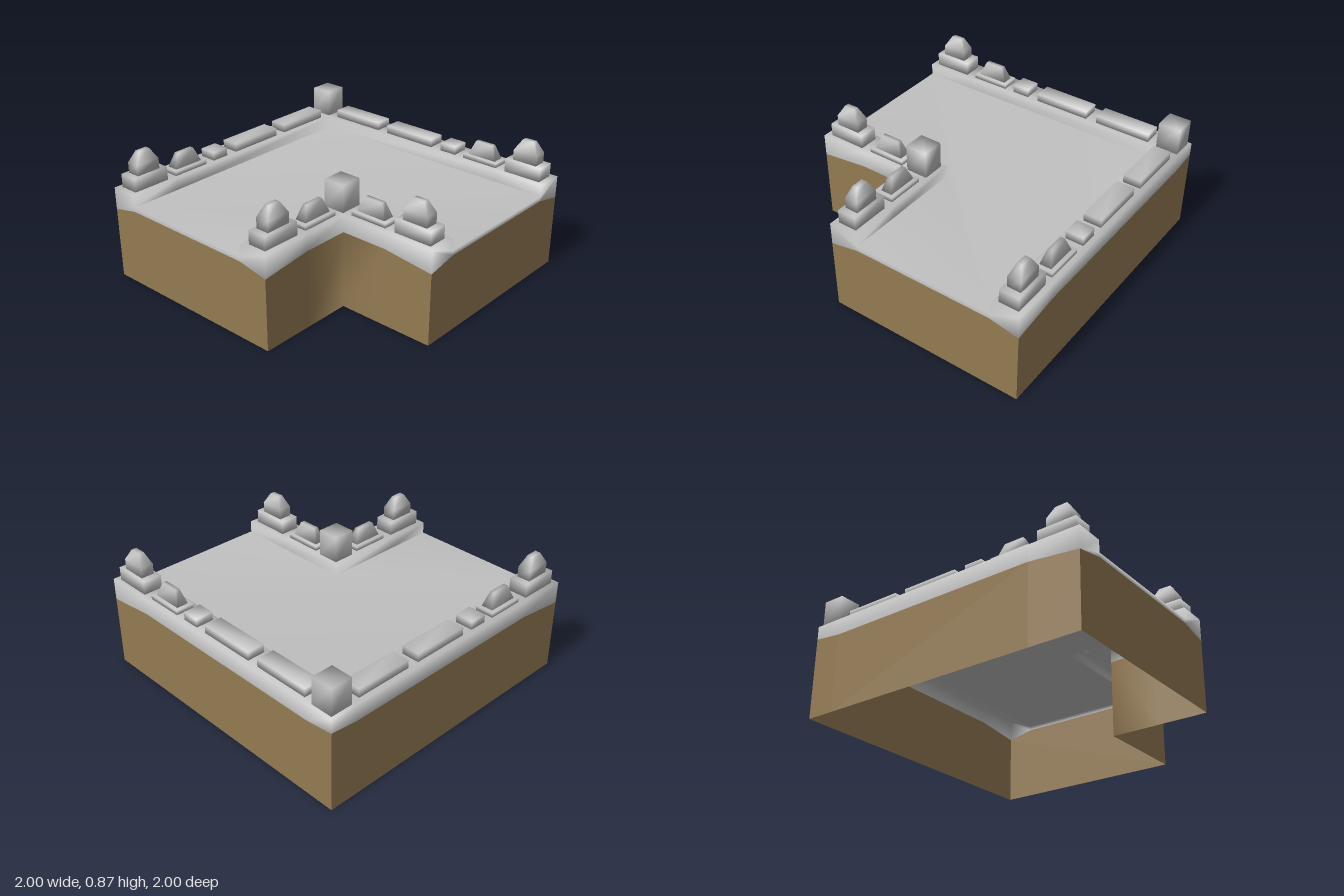
import * as THREE from 'three';
import { mergeGeometries, mergeVertices } from 'three/addons/utils/BufferGeometryUtils.js';

const LOW = 0.48, EAVE = 0.52, FLOOR = 0.55, TOP = 0.63; // main levels
const IN = -0.81, NOTCH = 0.34, NOTCH_IN = 0.14;         // plan lines, same in x and z

// Skin a list of cross-sections, sharing vertices so the shading is smooth
function loft(rows) {
  const n = rows[0].length, index = [];
  for (let i = 0; i < rows.length - 1; i++) {
    for (let j = 0; j < n - 1; j++) {
      const a = i * n + j, b = a + n;
      index.push(a, b, b + 1, a, b + 1, a + 1);
    }
  }
  const g = new THREE.BufferGeometry();
  g.setAttribute('position', new THREE.Float32BufferAttribute(rows.flat(2), 3));
  g.setIndex(index);
  g.computeVertexNormals();
  return g;
}

const flat = (pts) => new THREE.ShapeGeometry(new THREE.Shape(pts.map(([x, y]) => new THREE.Vector2(x, y))));
// The same gable outline closes the front (z = 1) and the side (x = 1)
const frontFace = (pts) => flat(pts).translate(0, 0, 1);
const sideFace = (pts) => flat(pts.map(([x, y]) => [-x, y])).rotateY(Math.PI / 2).translate(1, 0, 0);

// Merge pieces and smooth normals over their shared corners
function smooth(list) {
  list.forEach((g) => { g.deleteAttribute('uv'); g.deleteAttribute('normal'); });
  const g = mergeVertices(mergeGeometries(list), 1e-4);
  g.computeVertexNormals();
  return g;
}

// Box from y0 to y1 whose top may be narrower
function block(w, d, y0, y1, topW = w, topD = d) {
  const g = new THREE.BoxGeometry(w, y1 - y0, d).translate(0, (y0 + y1) / 2, 0);
  const p = g.attributes.position;
  for (let i = 0; i < p.count; i++) {
    if (p.getY(i) > (y0 + y1) / 2) {
      p.setX(i, p.getX(i) * topW / w);
      p.setZ(i, p.getZ(i) * topD / d);
    }
  }
  return smooth([g]);
}

export function createModel() {
  const model = new THREE.Group();
  const brown = new THREE.MeshStandardMaterial({ color: 0x947b53, side: THREE.DoubleSide });
  brown.name = 'earth brown';
  const grey = new THREE.MeshStandardMaterial({ color: 0xc0c0c0, side: THREE.DoubleSide });
  grey.name = 'stone grey';

  const add = (name, geometry, material, parent = model) => {
    const mesh = new THREE.Mesh(geometry, material);
    mesh.name = name;
    parent.add(mesh);
    return mesh;
  };

  // Paths along the walls: outer x, z, wall height, inner x, z
  const back = [[1, -1, LOW, 1, IN], [0.66, -1, EAVE, 0.66, IN], [-0.81, -1, EAVE, IN, IN], [-1, -1, 0.54, IN, IN]];
  const left = [[-1, -1, 0.54, IN, IN], [-1, -0.81, EAVE, IN, IN], [-1, 0.66, EAVE, IN, 0.66], [-1, 1, LOW, IN, 1]];
  const notch = [
    [NOTCH, 1, LOW, NOTCH_IN, 1], [NOTCH, 0.66, EAVE, NOTCH_IN, 0.66],
    [NOTCH, NOTCH, EAVE, NOTCH_IN, NOTCH_IN],
    [0.66, NOTCH, EAVE, 0.66, NOTCH_IN], [1, NOTCH, LOW, 1, NOTCH_IN],
  ];

  // Brown base walls, open underneath
  const wall = (path) => loft(path.map(([x, z, h]) => [[x, 0, z], [x, h, z]]));
  const gable = [[-1, 0], [NOTCH, 0], [NOTCH, LOW], [NOTCH_IN, EAVE], [IN, EAVE], [-1, LOW]];
  add('backWall', wall(back), brown);
  add('leftOuterWall', wall(left), brown);
  add('notchWall', wall(notch), brown);
  add('frontWall', frontFace(gable), brown);
  add('sideWall', sideFace(gable), brown);

  // Grey roof: parapets, sunken floor and the two low ends
  const parapet = (path) => loft(path.map(([x, z, h, ix, iz]) =>
    [[x, h, z], [x, TOP, z], [ix, TOP, iz], [ix, FLOOR, iz]]));
  const rim = [
    [-1, LOW], [IN, EAVE], [NOTCH_IN, EAVE], [NOTCH, LOW], [NOTCH, TOP],
    [NOTCH_IN, TOP], [NOTCH_IN, FLOOR], [IN, FLOOR], [IN, TOP], [-1, TOP],
  ];
  const floor = flat([[IN, -IN], [1, -IN], [1, -NOTCH_IN], [NOTCH_IN, -NOTCH_IN], [NOTCH_IN, -1], [IN, -1]])
    .rotateX(-Math.PI / 2).translate(0, FLOOR, 0);
  add('roof', smooth([parapet(back), parapet(left), parapet(notch), floor, frontFace(rim), sideFace(rim)]), grey);

  // Parapet ornaments, each laid out along x and turned for the z runs
  const ornaments = {
    longBlock: [block(0.39, 0.12, TOP, 0.685)],
    smallBlock: [block(0.12, 0.12, TOP, 0.685)],
    taperedBlock: [block(0.26, 0.125, TOP, 0.66), block(0.21, 0.08, 0.66, 0.755, 0.13, 0.03)],
    finial: [
      block(0.26, 0.13, TOP, 0.72),
      block(0.17, 0.09, 0.72, 0.79),
      block(0.17, 0.09, 0.79, 0.865, 0.08, 0.035),
    ],
    tower: [block(0.15, 0.15, TOP, 0.81)],
  };
  // Fuse the finial's upper stages so they shade as one cap
  const [plinth, ...cap] = ornaments.finial;
  ornaments.finial = [plinth, smooth(cap)];

  const place = (name, x, z, turned = false) => {
    const group = new THREE.Group();
    group.name = name;
    ornaments[name].forEach((g, i) => add(name + 'Stage' + (i + 1), g, grey, group));
    group.position.set(x, 0, z);
    if (turned) group.rotation.y = Math.PI / 2;
    model.add(group);
  };

  const ends = [['taperedBlock', 0.5], ['finial', 0.83]];
  const full = [['longBlock', -0.565], ['longBlock', -0.095], ['smallBlock', 0.24], ...ends];
  for (const [line, run] of [[-0.905, full], [0.24, ends]]) {
    place('tower', line, line);
    for (const [name, at] of run) {
      place(name, at, line);
      place(name, line, at, true);
    }
  }
  return model;
}
